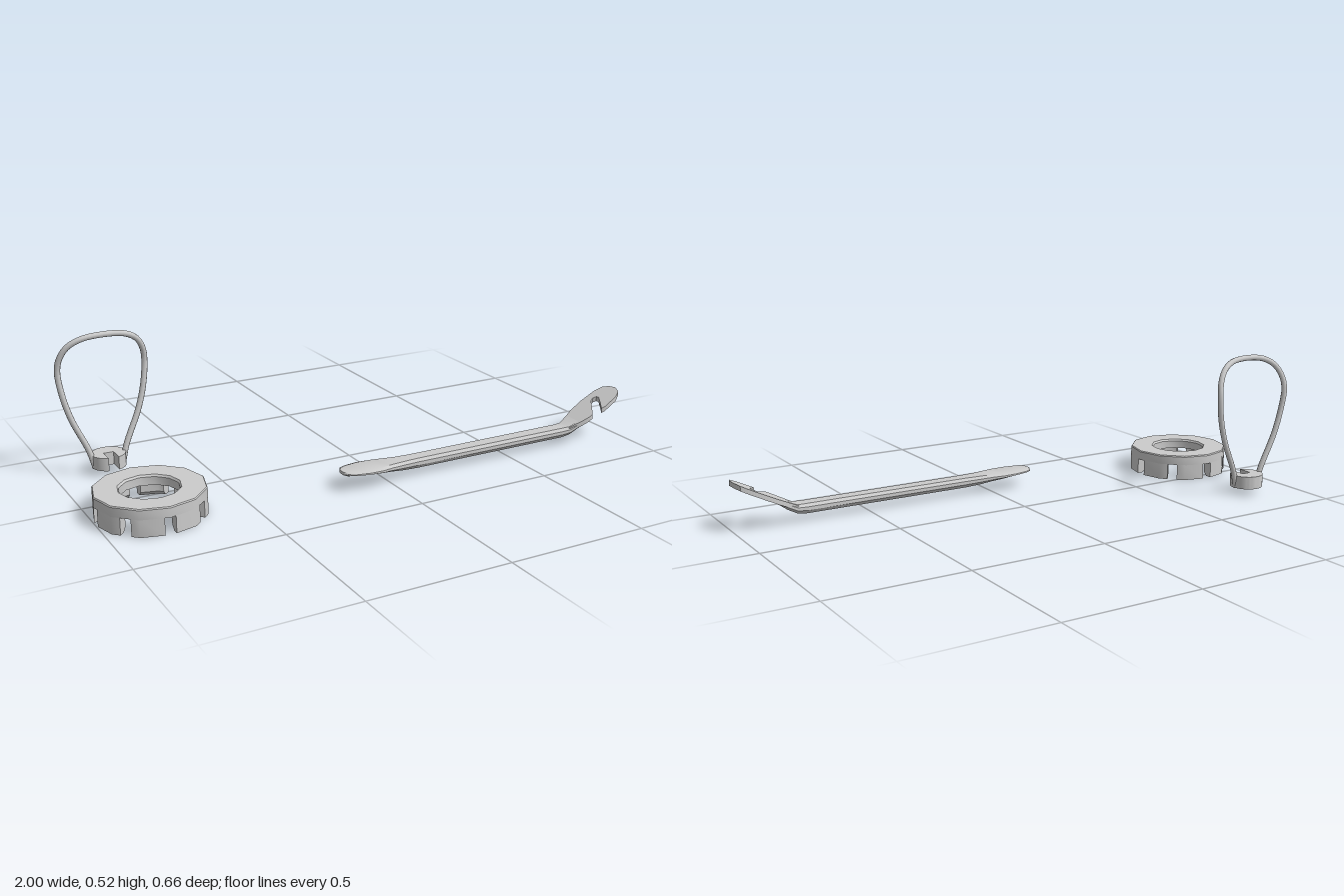
import * as THREE from 'three';
import { toCreasedNormals } from 'three/addons/utils/BufferGeometryUtils.js';

const material = new THREE.MeshStandardMaterial({ color: 0xcccccc });
const DEG = Math.PI / 180;

function addMesh(parent, name, geometry, crease = 0.6) {
  const mesh = new THREE.Mesh(crease ? toCreasedNormals(geometry, crease) : geometry, material);
  mesh.name = name;
  parent.add(mesh);
  return mesh;
}

// Skin a row of equal-length cross-sections and cap both ends
function loft(rings) {
  const n = rings[0].length, index = [];
  for (let i = 0; i < rings.length - 1; i++) {
    for (let j = 0; j < n; j++) {
      const k = (j + 1) % n;
      const a = i * n + j, b = i * n + k, c = b + n, d = a + n;
      index.push(a, b, c, a, c, d);
    }
  }
  const last = (rings.length - 1) * n;
  for (let j = 1; j < n - 1; j++) {
    index.push(0, j + 1, j, last, last + j, last + j + 1);
  }
  const geometry = new THREE.BufferGeometry().setFromPoints(rings.flat());
  geometry.setIndex(index);
  return geometry;
}

// Extrude a plan drawn as (x, -z) straight up
function extrudeUp(shape, depth) {
  return new THREE.ExtrudeGeometry(shape, { depth, bevelEnabled: false, curveSegments: 24 })
    .rotateX(-Math.PI / 2);
}

// Twelve-sided castellated ring
function slottedRing() {
  const ring = new THREE.Group();
  ring.name = 'slottedRing';
  const plate = [[0.1, 0.059], [0.188, 0.059], [0.188, 0.091], [0.185, 0.095],
    [0.105, 0.095], [0.1, 0.088], [0.1, 0.059]].map(p => new THREE.Vector2(...p));
  addMesh(ring, 'ringPlate', new THREE.LatheGeometry(plate, 12));

  const profile = [[0.188, 0], [0.165, 0], [0.15, 0.015], [0.15, 0.06], [0.188, 0.06]];
  const point = (r, y, a) => {
    const off = a % (30 * DEG) - 15 * DEG;
    const s = r * Math.cos(15 * DEG) / Math.cos(off);
    return new THREE.Vector3(s * Math.sin(a), y, s * Math.cos(a));
  };
  for (let k = 0; k < 8; k++) {
    const start = k * 45 * DEG, end = start + 45 * DEG;
    const corner = Math.ceil((k * 45 + 8) / 30) * 30 * DEG;
    const slot = r => Math.asin(0.019 / r); // keeps the slot sides parallel
    addMesh(ring, 'ringTooth', loft([
      profile.map(([r, y]) => point(r, y, start + slot(r))),
      profile.map(([r, y]) => point(r, y, corner)),
      profile.map(([r, y]) => point(r, y, end - slot(r))),
    ]));
  }
  ring.position.set(-0.813, 0, 0.142);
  return ring;
}

// Notched disc with a bent wire loop as handle
function wireKey() {
  const key = new THREE.Group();
  key.name = 'wireKey';
  const w = 0.018, cut = Math.asin(w / 0.06);
  const disc = new THREE.Shape();
  disc.absarc(0, 0, 0.06, -Math.PI / 2 + cut, Math.PI * 1.5 - cut, false);
  disc.lineTo(-w, 0);
  disc.lineTo(w, 0);
  disc.closePath();
  addMesh(key, 'notchedDisc', extrudeUp(disc, 0.047)).position.y = 0.025;

  const half = [[0.05, 0.026, 0.002], [0.068, 0.09, -0.003], [0.12, 0.21, -0.009],
    [0.145, 0.3, -0.013], [0.155, 0.385, -0.017], [0.148, 0.43, -0.009],
    [0.122, 0.473, 0.005], [0.075, 0.499, 0.019]];
  const path = [
    ...half.map(([x, y, z]) => new THREE.Vector3(-x, y, z)),
    new THREE.Vector3(0, 0.507, 0.024),
    ...half.slice().reverse().map(p => new THREE.Vector3(...p)),
  ];
  const curve = new THREE.CatmullRomCurve3(path);
  addMesh(key, 'wireLoop', new THREE.TubeGeometry(curve, 64, 0.0105, 10), 0);
  key.position.set(-0.813, 0, -0.27);
  return key;
}

// Long lever with a paddle at one end and a hooked, raised head at the other
function lever() {
  const group = new THREE.Group();
  group.name = 'lever';
  // x, half width, bottom, top
  const sections = [
    [-0.175, 0.016, 0.055, 0.066], [-0.165, 0.035, 0.054, 0.067], [-0.14, 0.048, 0.053, 0.067],
    [-0.09, 0.057, 0.051, 0.067], [-0.04, 0.055, 0.046, 0.067], [0, 0.045, 0.041, 0.067],
    [0.05, 0.036, 0.034, 0.066], [0.11, 0.031, 0.03, 0.066], [0.74, 0.031, 0.03, 0.066],
    [0.775, 0.034, 0.036, 0.067], [0.81, 0.04, 0.055, 0.084], [0.85, 0.044, 0.084, 0.1],
  ];
  const rings = sections.map(([x, w, b, t]) => {
    const h = t - b;
    return [[0.72, 0], [-0.72, 0], [-1, 0.35], [-1, 0.7], [-0.75, 1], [0.75, 1], [1, 0.7], [1, 0.35]]
      .map(([z, y]) => new THREE.Vector3(x, b + y * h, z * w));
  });
  addMesh(group, 'leverBar', loft(rings));

  // Hook outline (x, z), sheared upwards along its length
  const outline = [
    [0.77, -0.03], [0.8, -0.038], [0.84, -0.051], [0.89, -0.059], [0.95, -0.058], [0.98, -0.048],
    [0.995, -0.025], [1, 0.005], [0.99, 0.035], [0.965, 0.052], [0.91, 0.059], [0.897, 0.055],
    [0.917, 0.022], [0.934, -0.008], [0.933, -0.02], [0.922, -0.027], [0.909, -0.022],
    [0.885, 0.015], [0.86, 0.05], [0.845, 0.052], [0.82, 0.046], [0.79, 0.034], [0.77, 0.03],
  ];
  const shape = new THREE.Shape(outline.map(([x, z]) => new THREE.Vector2(x, -z)));
  const head = extrudeUp(shape, 0.018);
  const pos = head.attributes.position;
  for (let i = 0; i < pos.count; i++) {
    pos.setY(i, pos.getY(i) + 0.046 + (pos.getX(i) - 0.77) * 0.5);
  }
  addMesh(group, 'hookHead', head);
  group.position.z = 0.264;
  return group;
}

export function createModel() {
  const model = new THREE.Group();
  model.name = 'toolSet';
  model.add(slottedRing(), wireKey(), lever());
  return model;
}
